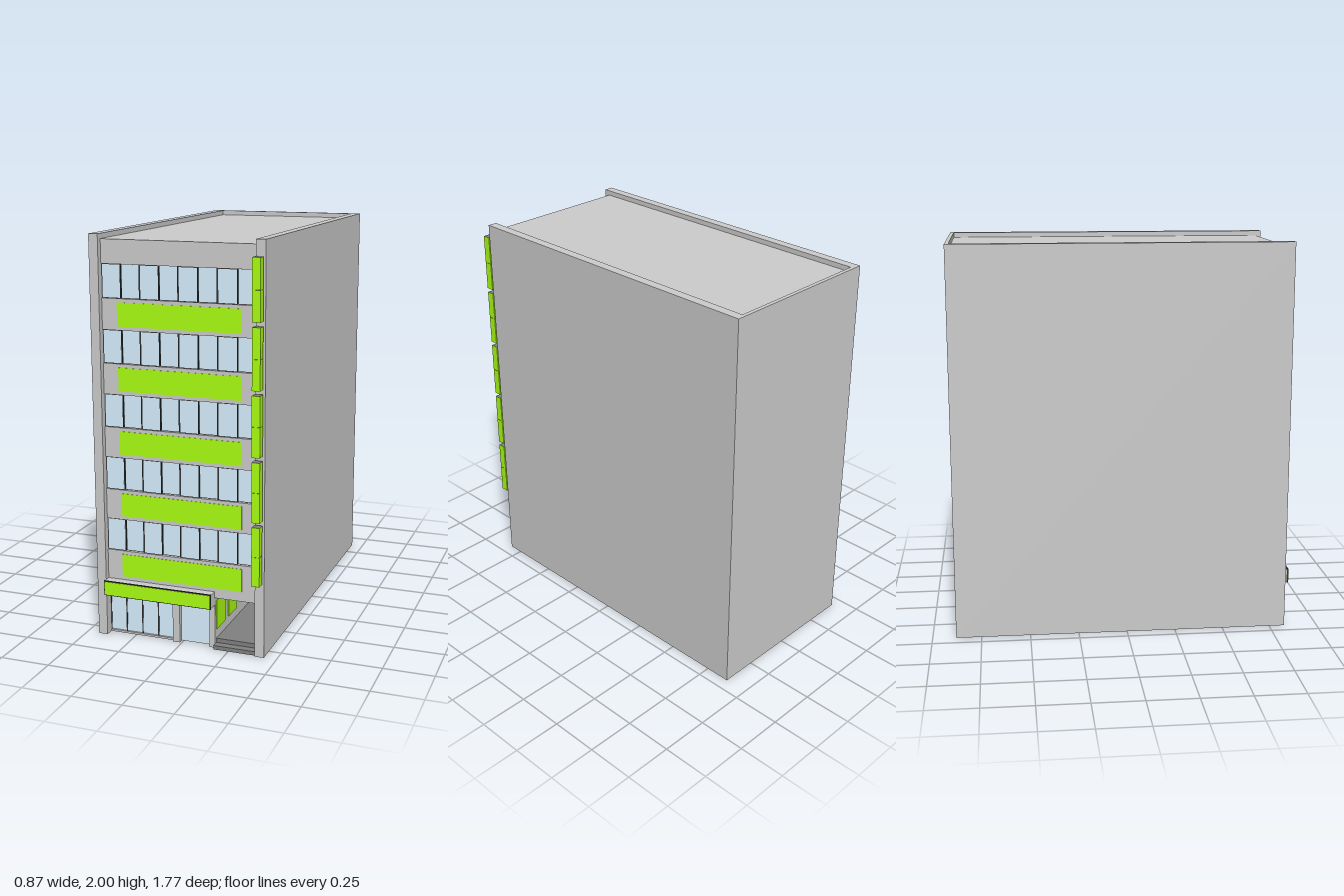
import * as THREE from 'three';

const mat = (color) => new THREE.MeshStandardMaterial({ color });

export function createModel() {
  const grey = mat(0xcccccc), dark = mat(0x808080), black = mat(0x333333);
  const green = mat(0xaaff11), glass = mat(0xd6f0ff);
  const model = new THREE.Group();
  model.name = 'officeBuilding';

  // Box given by its limits on each axis
  const box = (name, x0, x1, y0, y1, z0, z1, material = grey) => {
    const mesh = new THREE.Mesh(new THREE.BoxGeometry(x1 - x0, y1 - y0, z1 - z0), material);
    mesh.position.set((x0 + x1) / 2, (y0 + y1) / 2, (z0 + z1) / 2);
    mesh.name = name;
    model.add(mesh);
    return mesh;
  };

  // Glazed sash: pane with a thin dark border
  const sash = (name, x0, x1, y0, y1, z, border = 0.003) => {
    box(name + 'Frame', x0, x1, y0, y1, z - 0.01, z, black);
    box(name + 'Glass', x0 + border, x1 - border, y0 + border, y1 - border, z - 0.006, z + 0.001, glass);
  };

  const L = -0.39, R = 0.39, ceiling = 0.3, roof = 1.975, face = 0.8;

  // Outer shell: side walls and back wall rise above the roof as a parapet
  box('rightWall', -0.437, L, 0, 2, -0.88, 0.83);
  box('leftWall', R, 0.437, 0, 2, -0.88, 0.83);
  box('backWall', L, R, 0, 2, -0.88, -0.86);
  box('upperFloors', L, R, ceiling, roof, -0.86, 0.77);

  // Upper storeys: sign panel, spandrel, window band and projecting sign
  const pitch = 0.3135;
  for (let i = 0; i < 5; i++) {
    const y = i * pitch;
    const sill = y + 0.443, head = y + 0.605;
    box('spandrel', L, R, i ? head - pitch : 0.26, sill, 0.77, face);
    box('signPanel', -0.312, 0.314, y + 0.31, y + 0.425, face, face + 0.002, green);
    for (let k = 0; k < 4; k++) {
      const x = L + k * 0.1945;
      sash('frontSash', x, x + 0.096, sill, head, 0.793);
      sash('rearSash', x + 0.096, x + 0.188, sill, head, 0.783, 0.002);
      box('mullion', x + 0.188, Math.min(x + 0.1945, R), sill, head, 0.77, 0.79, black);
    }
    for (let k = 0; k < 2; k++) {
      const y0 = y + 0.38 + k * 0.146;
      const sign = box('projectingSign', 0.391, 0.431, y0, y0 + 0.145, 0.845, 0.886);
      sign.material = [green, green, dark, dark, green, green];
    }
  }
  box('topSpandrel', L, R, 0.605 + 4 * pitch, roof, 0.77, face);

  // Ground floor partitions, open underneath
  box('shopSideWall', 0.155, 0.175, 0, ceiling, -0.03, 0.77);
  box('shopBackWall', L, 0.175, 0, ceiling, -0.05, -0.03);
  box('rearRoomWall', L, R, 0, ceiling, -0.23, -0.21);

  // Entrance passage with steps and lobby floor
  box('passageFloor', 0.175, R, 0, 0.042, -0.21, 0.78, dark);
  box('entranceStep', 0.175, R, 0, 0.02, 0.78, 0.82, dark);
  box('lobbyFloor', L, 0.175, 0, 0.042, -0.21, -0.05, dark);
  box('passageCeiling', 0.175, R, 0.25, ceiling, -0.21, 0.77);
  for (const z of [0.66, 0.49]) {
    box('passagePoster', 0.175, 0.179, 0.09, 0.24, z, z + 0.12, green);
    box('passagePoster', 0.386, R, 0.09, 0.24, z, z + 0.12, green);
  }

  // Shop front
  box('shopLintel', L, 0.175, 0.22, 0.26, 0.77, face);
  box('windowHead', L, -0.045, 0.195, 0.22, 0.76, 0.785, dark);
  box('windowSill', L, -0.045, 0, 0.01, 0.76, 0.785);
  for (let k = 0; k < 4; k++) {
    const x = L + k * 0.086;
    box('shopWindow', x + 0.003, x + 0.083, 0.012, 0.193, 0.772, 0.778, glass);
    box('shopWindowPost', x - 0.003 + (k ? 0 : 0.003), x + 0.003, 0.01, 0.195, 0.77, 0.781, black);
  }
  box('shopPillar', -0.047, -0.01, 0, 0.22, 0.76, face);
  box('shopDoor', -0.01, 0.143, 0.003, 0.22, 0.772, 0.778, glass);
  box('doorPost', 0.143, 0.147, 0, 0.22, 0.77, 0.781, black);
  box('entrancePillar', 0.147, 0.175, 0, 0.22, 0.76, face);

  // Canopy with framed sign
  box('canopy', L, 0.173, 0.222, 0.292, face, 0.848);
  box('canopySignFrame', L, 0.175, 0.22, 0.295, 0.848, 0.856, black);
  box('canopySign', L + 0.004, 0.171, 0.224, 0.291, 0.85, 0.858, green);

  return model;
}
